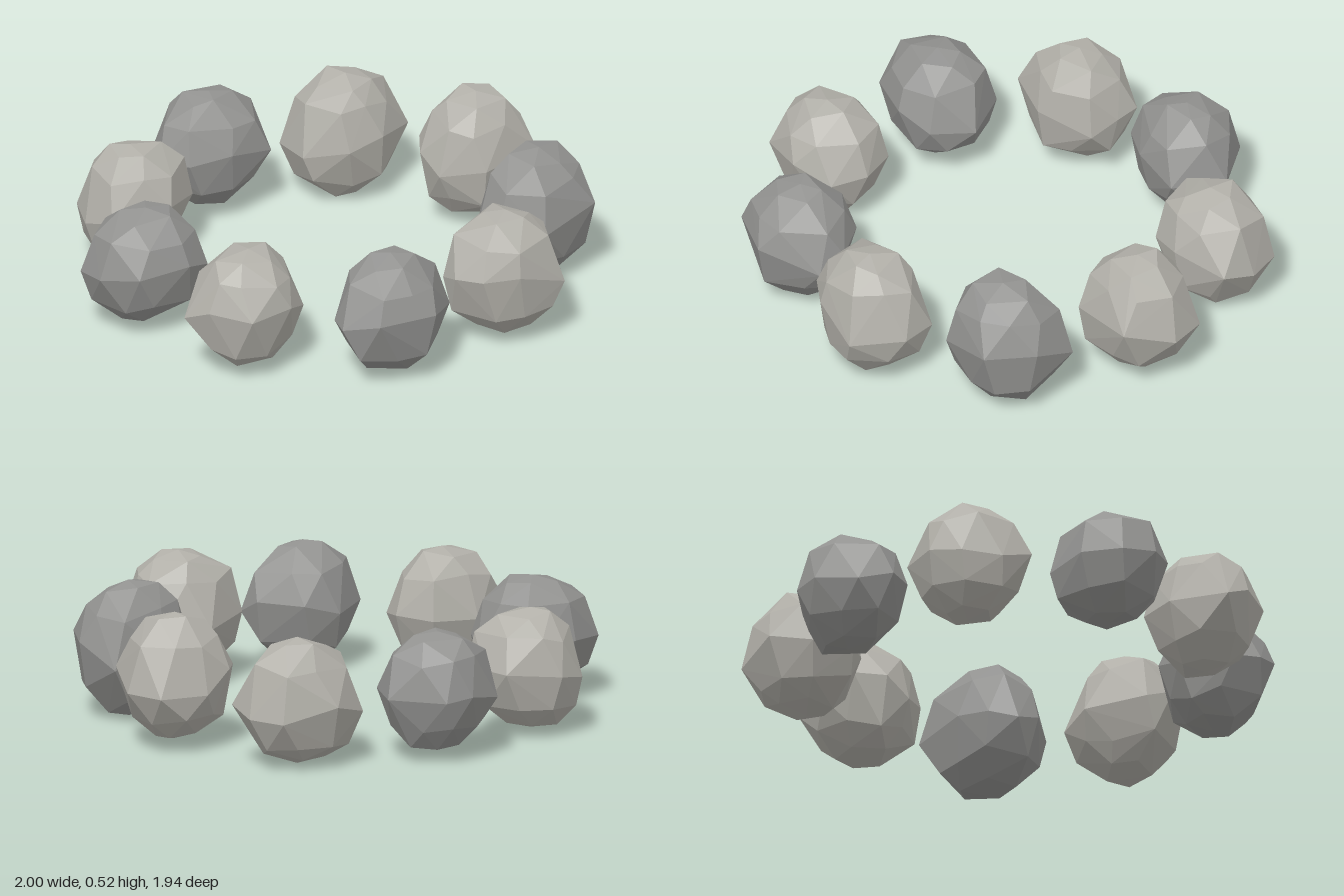
import * as THREE from 'three';
import { ConvexGeometry } from 'three/addons/geometries/ConvexGeometry.js';

// Plan outline of each stone, as x, z corners
const OUTLINES = [
  [0.55, 0.02, 0.56, -0.09, 0.65, -0.18, 0.78, -0.21, 0.96, -0.15, 1.0, 0.0, 0.91, 0.18, 0.64, 0.18],
  [0.35, 0.41, 0.44, 0.34, 0.57, 0.31, 0.79, 0.33, 0.81, 0.52, 0.7, 0.69, 0.45, 0.67, 0.35, 0.52],
  [0.14, 0.55, 0.33, 0.64, 0.36, 0.79, 0.24, 0.97, 0.03, 0.94, -0.09, 0.86, -0.13, 0.75, -0.09, 0.65],
  [-0.42, 0.47, -0.28, 0.51, -0.17, 0.66, -0.18, 0.77, -0.39, 0.9, -0.6, 0.81, -0.66, 0.67, -0.61, 0.58],
  [-0.76, 0.06, -0.58, 0.11, -0.52, 0.26, -0.58, 0.39, -0.72, 0.46, -0.9, 0.43, -0.97, 0.27, -0.98, 0.15],
  [-0.8, -0.47, -0.62, -0.45, -0.5, -0.25, -0.59, -0.1, -0.73, -0.06, -0.93, -0.13, -1.0, -0.27, -0.96, -0.41],
  [-0.4, -0.88, -0.2, -0.79, -0.18, -0.68, -0.19, -0.56, -0.4, -0.47, -0.63, -0.56, -0.62, -0.71, -0.53, -0.84],
  [0.11, -0.97, 0.22, -0.95, 0.36, -0.77, 0.26, -0.58, 0.06, -0.59, -0.09, -0.67, -0.13, -0.79, -0.06, -0.91],
  [0.57, -0.73, 0.78, -0.66, 0.83, -0.52, 0.81, -0.39, 0.6, -0.32, 0.45, -0.35, 0.35, -0.5, 0.4, -0.67],
];
// Bottom and top of each stone
const HEIGHTS = [
  [0.03, 0.52], [0.01, 0.52], [0.025, 0.515], [0.02, 0.49], [0.02, 0.49],
  [0.04, 0.48], [0.02, 0.485], [0.04, 0.49], [0, 0.49],
];

function seeded(seed) {
  let s = seed;
  return () => (s = (s * 16807) % 2147483647) / 2147483647;
}

// Distance from the centre to a convex outline along an angle
function reach(corners, angle) {
  const dir = new THREE.Vector2(Math.cos(angle), Math.sin(angle));
  let best = Infinity;
  corners.forEach((a, i) => {
    const edge = corners[(i + 1) % corners.length].clone().sub(a);
    const t = a.cross(edge) / dir.cross(edge);
    if (t > 0) best = Math.min(best, t);
  });
  return best;
}

// Faceted boulder: hull of the outline, two jittered rings above and below, and two poles
function stoneGeometry(corners, half, random) {
  const points = corners.map((c) => new THREE.Vector3(c.x, (random() - 0.5) * 0.35 * half, c.y));
  for (const side of [-1, 1]) {
    points.push(new THREE.Vector3(0, side * half, 0));
    for (const [count, latitude] of [[8, 0.62], [5, 1.1]]) {
      const start = random() * Math.PI;
      for (let i = 0; i < count; i++) {
        const angle = start + ((i + (random() - 0.5) * 0.4) / count) * Math.PI * 2;
        const lat = latitude + (random() - 0.5) * 0.2;
        const grow = 0.98 + random() * 0.1;
        const r = reach(corners, angle) * Math.cos(lat) * grow;
        const y = Math.min(half, half * Math.sin(lat) * grow);
        points.push(new THREE.Vector3(Math.cos(angle) * r, side * y, Math.sin(angle) * r));
      }
    }
  }
  return new ConvexGeometry(points);
}

export function createModel() {
  const group = new THREE.Group();
  group.name = 'stoneRing';
  const light = new THREE.MeshStandardMaterial({ color: 0xb2b0a9, flatShading: true });
  const dark = new THREE.MeshStandardMaterial({ color: 0x939391, flatShading: true });

  // Nine stones in a circle, alternating in shade
  OUTLINES.forEach((flat, i) => {
    const turn = (i / OUTLINES.length) * Math.PI * 2;
    const cx = 0.785 * Math.cos(turn) - 0.015;
    const cz = 0.785 * Math.sin(turn);
    const corners = [];
    for (let k = 0; k < flat.length; k += 2) corners.push(new THREE.Vector2(flat[k] - cx, flat[k + 1] - cz));
    const [bottom, top] = HEIGHTS[i];
    const geo = stoneGeometry(corners, (top - bottom) / 2, seeded(12345 + i * 7919));
    const stone = new THREE.Mesh(geo, i % 2 ? dark : light);
    stone.name = `stone${i + 1}`;
    stone.position.set(cx, (bottom + top) / 2, cz);
    group.add(stone);
  });
  return group;
}
